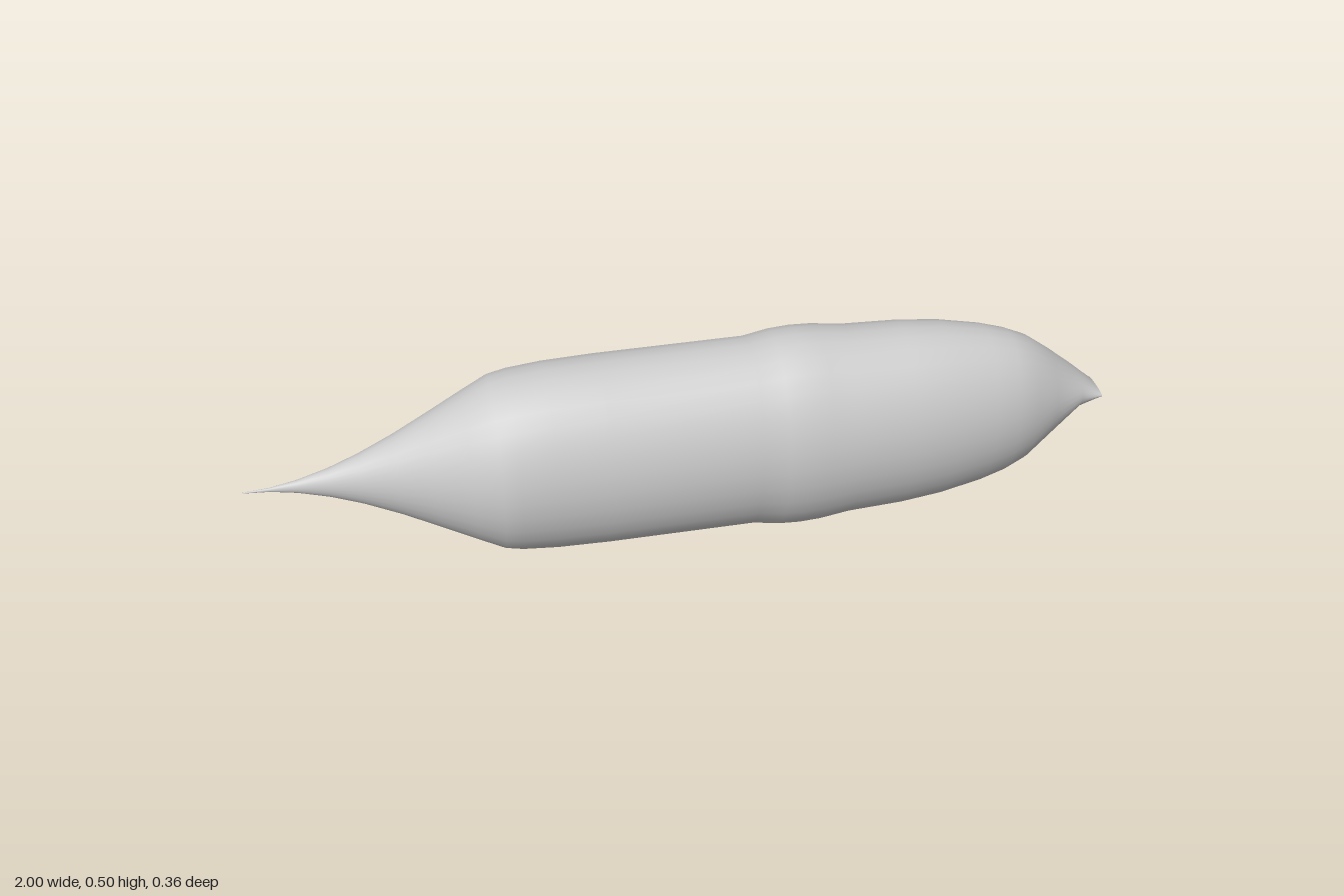
import * as THREE from 'three';

const SIDES = 32;
const MID_Y = 0.253;

// Cross-sections along the length: [x, half height, half width, z offset]
const SECTIONS = [
  [-1, 0.001, 0.001, 0], [-0.94, 0.005, 0.004, 0], [-0.88, 0.016, 0.012, 0],
  [-0.81, 0.036, 0.026, 0], [-0.74, 0.063, 0.045, 0], [-0.66, 0.1, 0.073, 0],
  [-0.58, 0.142, 0.105, 0], [-0.5, 0.184, 0.14, 0], [-0.44, 0.214, 0.166, 0],
  [-0.4, 0.224, 0.17, 0], [-0.32, 0.233, 0.171, 0], [-0.2, 0.237, 0.172, 0],
  [0.14, 0.238, 0.172, 0], [0.2, 0.249, 0.179, 0], [0.25, 0.2525, 0.18, 0],
  [0.3, 0.25, 0.179, 0], [0.37, 0.24, 0.173, 0], [0.5, 0.235, 0.168, 0],
  [0.6, 0.225, 0.158, 0], [0.7, 0.205, 0.142, 0], [0.76, 0.187, 0.128, 0],
  [0.81, 0.164, 0.113, -0.002], [0.87, 0.117, 0.09, -0.011],
  [0.95, 0.046, 0.065, -0.025], [1, 0.006, 0.041, -0.004],
];

function ring([x, h, w, dz]) {
  const points = [];
  for (let j = 0; j < SIDES; j++) {
    const a = (j / SIDES) * Math.PI * 2;
    points.push(x, MID_Y + h * Math.cos(a), dz + w * Math.sin(a));
  }
  return points;
}

function makeMesh(name, positions, index, material) {
  const geometry = new THREE.BufferGeometry();
  geometry.setAttribute('position', new THREE.Float32BufferAttribute(positions, 3));
  geometry.setIndex(index);
  geometry.computeVertexNormals();
  const mesh = new THREE.Mesh(geometry, material);
  mesh.name = name;
  return mesh;
}

export function createModel() {
  const group = new THREE.Group();
  group.name = 'taperedBody';
  const material = new THREE.MeshStandardMaterial({ color: 0xcccccc });

  // Smooth oval hull with a needle tail and a pinched nose
  const index = [];
  for (let i = 0; i < SECTIONS.length - 1; i++) {
    for (let j = 0; j < SIDES; j++) {
      const k = (j + 1) % SIDES;
      const a = i * SIDES + j, b = i * SIDES + k;
      index.push(a, b, a + SIDES, b, b + SIDES, a + SIDES);
    }
  }
  group.add(makeMesh('hull', SECTIONS.flatMap(ring), index, material));

  // Thin flat edge closing the nose
  const end = SECTIONS[SECTIONS.length - 1];
  const capIndex = [];
  for (let j = 0; j < SIDES; j++) capIndex.push(SIDES, j, (j + 1) % SIDES);
  group.add(makeMesh('noseEdge', [...ring(end), end[0], MID_Y, end[3]], capIndex, material));

  return group;
}
